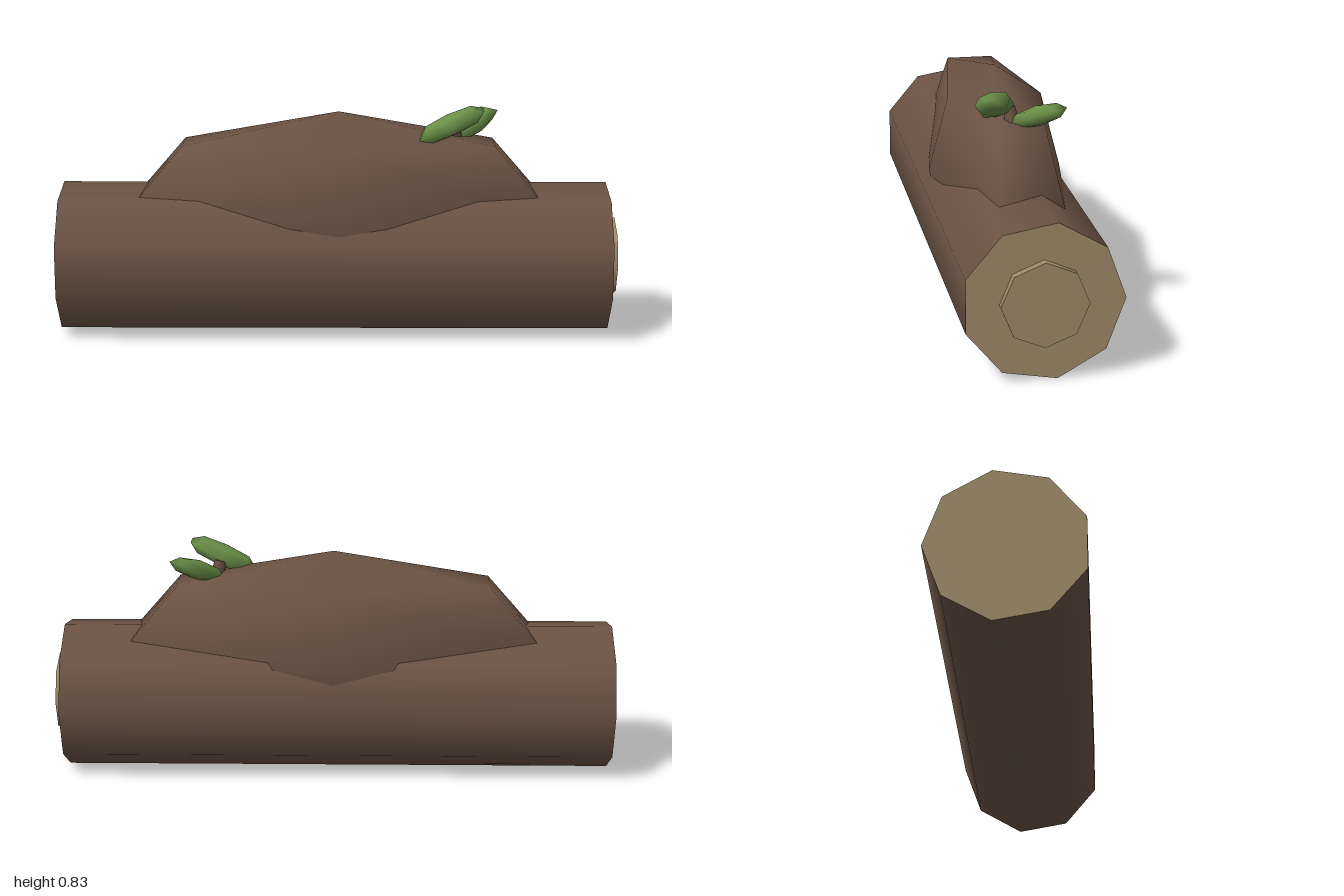
import * as THREE from 'three';

const mat = (name, color) => {
  const m = new THREE.MeshStandardMaterial({ color });
  m.name = name;
  return m;
};

export function createModel() {
  const bark = mat('bark', 0x6b5344);
  const wood = mat('cutWood', 0xa08b69);
  const green = mat('leafGreen', 0x6a8f47);
  const group = new THREE.Group();
  group.name = 'log';

  const add = (name, geometry, material, x, y, z) => {
    const mesh = new THREE.Mesh(geometry, material);
    mesh.name = name;
    mesh.position.set(x, y, z);
    group.add(mesh);
    return mesh;
  };

  // Cylinder lying along x
  const lying = (radius, length, sides) =>
    new THREE.CylinderGeometry(radius, radius, length, sides)
      .rotateY(Math.PI)
      .rotateZ(-Math.PI / 2);

  // Low-poly ellipsoid with corners on the z axis and blunt ends along x
  const blob = (rx, ry, rz) =>
    new THREE.SphereGeometry(1, 6, 4).rotateY(Math.PI / 2).scale(rx, ry, rz);

  // Trunk with cut ends
  add('trunk', lying(0.27, 1.97, 9), [bark, wood, wood], -0.015, 0.267, 0.008);
  add('heartwood', lying(0.145, 0.05, 8), wood, 0.975, 0.267, 0.008);

  // Bark swelling on top
  add('barkHump', blob(0.912, 0.383, 0.24), bark, 0, 0.417, 0);

  // Twig with two leaves
  const twig = add('twig', new THREE.CylinderGeometry(0.022, 0.032, 0.12, 5), bark, 0.42, 0.7, 0.01);
  twig.rotation.set(0.15, 0, 0.2);

  const leaves = [
    ['frontLeaf', [0.145, 0.04, 0.068], [0.402, 0.766, 0.07], 0, 0.44],
    ['backLeaf', [0.125, 0.035, 0.055], [0.485, 0.745, -0.065], 0.72, 0.38],
  ];
  for (const [name, size, pos, yaw, lift] of leaves) {
    const leaf = add(name, blob(...size), green, ...pos);
    leaf.rotation.set(0, yaw, lift, 'YZX');
  }
  return group;
}
